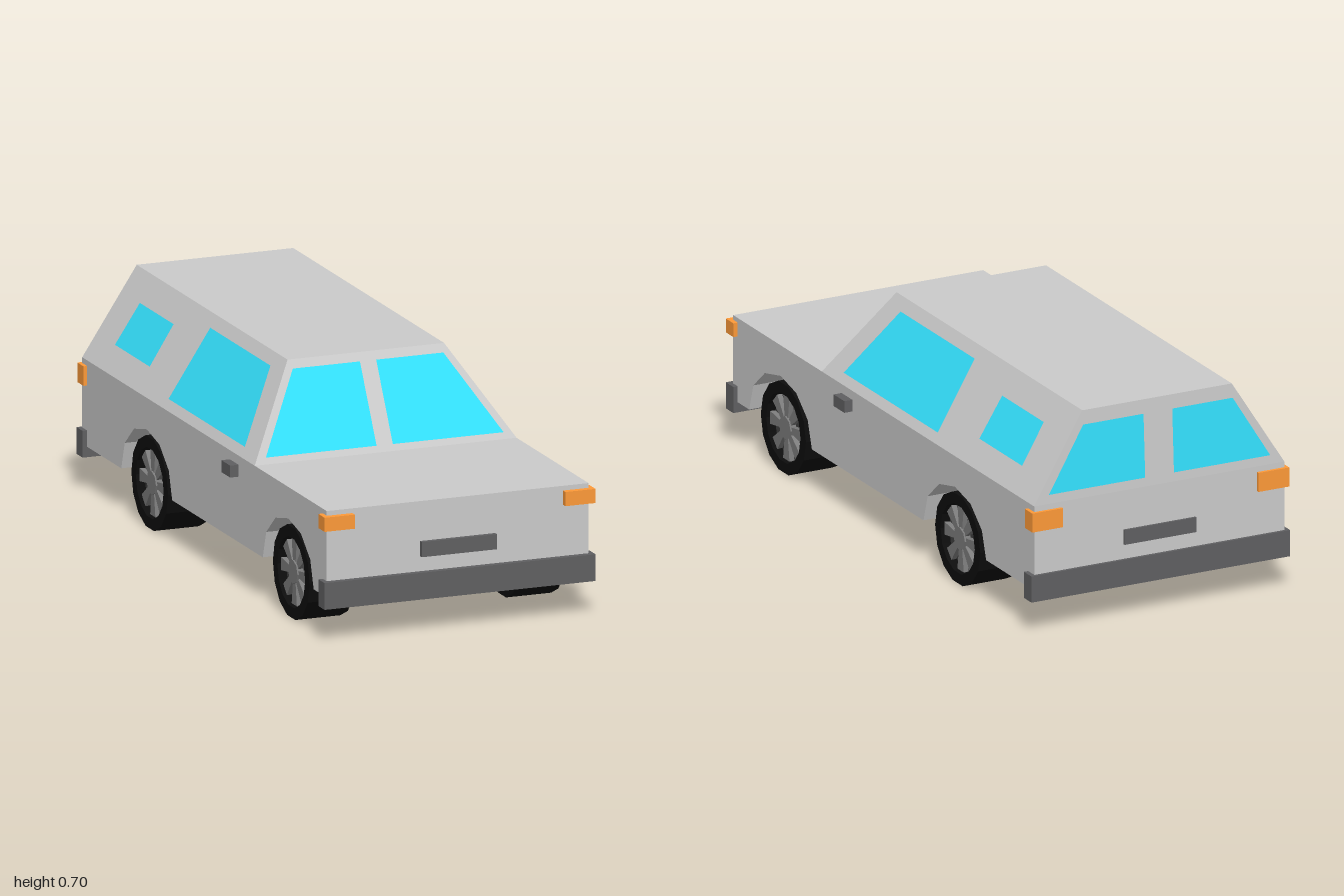
import * as THREE from 'three';
import { ConvexGeometry } from 'three/addons/geometries/ConvexGeometry.js';

const mat = (color, side = THREE.FrontSide) =>
  new THREE.MeshStandardMaterial({ color, flatShading: true, side });
const paint = mat(0xcccccc), trim = mat(0x606062), lamp = mat(0xff9b39);
const rubber = mat(0x0d0d0d), rimDark = mat(0x404040), rimLight = mat(0x7c7c7c);
const glass = mat(0x34e2ff, THREE.DoubleSide);

const HALF = 0.435, WELL = 0.165, FRONT = 0.98, BACK = -0.99;
const SILL = 0.145, BELT = 0.42, ROOF = 0.7;
const AXLES = { front: 0.67, rear: -0.47 };

export function createModel() {
  const car = new THREE.Group();
  car.name = 'stationWagon';
  const add = (name, geometry, material, parent = car) => {
    const mesh = new THREE.Mesh(geometry, material);
    mesh.name = name;
    parent.add(mesh);
    return mesh;
  };
  // Box given by its min and max on each axis
  const box = (name, [x0, x1], [y0, y1], [z0, z1], material) =>
    add(name, new THREE.BoxGeometry(x1 - x0, y1 - y0, z1 - z0), material)
      .position.set((x0 + x1) / 2, (y0 + y1) / 2, (z0 + z1) / 2);

  // Lower body: plain centre, flanks with faceted wheel arches
  box('bodyCentre', [WELL - HALF, HALF - WELL], [SILL, BELT], [BACK, FRONT], paint);
  const flank = new THREE.Shape();
  flank.moveTo(BACK, SILL);
  for (const z of [AXLES.rear, AXLES.front]) {
    for (let i = 0; i <= 6; i++) {
      const a = Math.PI * (1 - i / 6);
      flank.lineTo(z + 0.205 * Math.cos(a), SILL + 0.175 * Math.sin(a));
    }
  }
  flank.lineTo(FRONT, SILL);
  flank.lineTo(FRONT, BELT);
  flank.lineTo(BACK, BELT);
  const flankGeometry = new THREE.ExtrudeGeometry(flank, { depth: WELL, bevelEnabled: false });
  flankGeometry.rotateY(-Math.PI / 2);
  add('leftFlank', flankGeometry, paint).position.x = HALF;
  add('rightFlank', flankGeometry, paint).position.x = WELL - HALF;

  // Tapered cabin
  const corners = [];
  for (const s of [-1, 1]) {
    corners.push(
      new THREE.Vector3(s * HALF, BELT, 0.4), new THREE.Vector3(s * HALF, BELT, BACK),
      new THREE.Vector3(s * 0.26, ROOF, 0.24), new THREE.Vector3(s * 0.26, ROOF, -0.975));
  }
  add('cabin', new ConvexGeometry(corners), paint);

  // Glass panes lie just outside the sloping cabin walls
  const rise = (y) => (y - BELT) / (ROOF - BELT);
  const sideX = (y) => HALF - 0.175 * rise(y) + 0.004;
  const frontZ = (y) => 0.4 - 0.16 * rise(y) + 0.004;
  const backZ = (y) => BACK + 0.015 * rise(y) - 0.003;
  const pane = (name, points) => {
    const geometry = new THREE.BufferGeometry();
    geometry.setAttribute('position', new THREE.Float32BufferAttribute(points.flat(), 3));
    geometry.setIndex([0, 1, 2, 0, 2, 3]);
    geometry.computeVertexNormals();
    add(name, geometry, glass);
  };
  const windscreen = [[0.027, 0.44], [0.395, 0.44], [0.25, 0.675], [0.027, 0.675]];
  const tailgate = [[0.05, 0.45], [0.385, 0.45], [0.26, 0.655], [0.05, 0.655]];
  const doorGlass = [[0.285, 0.45], [-0.33, 0.45], [-0.32, 0.665], [0.165, 0.665]];
  const rearGlass = [[-0.55, 0.495], [-0.83, 0.495], [-0.822, 0.622], [-0.55, 0.622]];

  // Mirrored glass, lamps and handles
  for (const [side, s] of [['left', 1], ['right', -1]]) {
    pane(side + 'Windscreen', windscreen.map(([x, y]) => [s * x, y, frontZ(y)]));
    pane(side + 'TailgateWindow', tailgate.map(([x, y]) => [s * x, y, backZ(y)]));
    pane(side + 'DoorWindow', doorGlass.map(([z, y]) => [s * sideX(y), y, z]));
    pane(side + 'RearSideWindow', rearGlass.map(([z, y]) => [s * sideX(y), y, z]));
    const span = (a, b) => (s > 0 ? [a, b] : [-b, -a]);
    box(side + 'Headlamp', span(0.35, 0.45), [0.36, 0.405], [0.95, 1], lamp);
    box(side + 'TailLamp', span(0.34, 0.447), [0.34, 0.402], [-1, -0.95], lamp);
    box(side + 'Mirror', span(0.425, 0.463), [0.353, 0.391], [0.2, 0.27], trim);
  }

  // Bumpers and blank plates
  box('frontBumper', [-0.45, 0.45], [0.112, 0.197], [0.95, 1], trim);
  box('rearBumper', [-0.45, 0.45], [0.112, 0.197], [-1, -0.95], trim);
  box('frontPlate', [-0.125, 0.125], [0.245, 0.293], [0.96, 0.995], trim);
  box('rearPlate', [-0.125, 0.125], [0.245, 0.293], [-0.998, -0.96], trim);

  // Wheel pieces, built along y and turned so the outer face is +x
  const profile = [[0, -0.075], [0.148, -0.075], [0.148, 0.075], [0.112, 0.075], [0.106, 0.045]]
    .map(([r, y]) => new THREE.Vector2(r, y));
  const tyre = new THREE.LatheGeometry(profile, 14);
  const disc = new THREE.CylinderGeometry(0.108, 0.108, 0.02, 14).translate(0, 0.038, 0);
  const hub = new THREE.CylinderGeometry(0.038, 0.038, 0.026, 8).translate(0, 0.057, 0);
  const spokeShape = new THREE.Shape(
    [[0.03, -0.01], [0.105, -0.021], [0.105, 0.021], [0.03, 0.01]]
      .map(([x, y]) => new THREE.Vector2(x, y)));
  const spoke = new THREE.ExtrudeGeometry(spokeShape, { depth: 0.02, bevelEnabled: false })
    .rotateX(-Math.PI / 2).translate(0, 0.045, 0);

  for (const [end, z] of Object.entries(AXLES)) {
    for (const [side, s] of [['Left', 1], ['Right', -1]]) {
      const wheel = new THREE.Group();
      wheel.name = end + side + 'Wheel';
      add('tyre', tyre, rubber, wheel);
      add('rimDisc', disc, rimDark, wheel);
      add('hub', hub, rimLight, wheel);
      for (let i = 0; i < 8; i++) add('spoke', spoke, rimLight, wheel).rotation.y = i * Math.PI / 4;
      wheel.rotation.z = -s * Math.PI / 2;
      wheel.position.set(s * 0.35, 0.148, z);
      car.add(wheel);
    }
  }
  return car;
}
